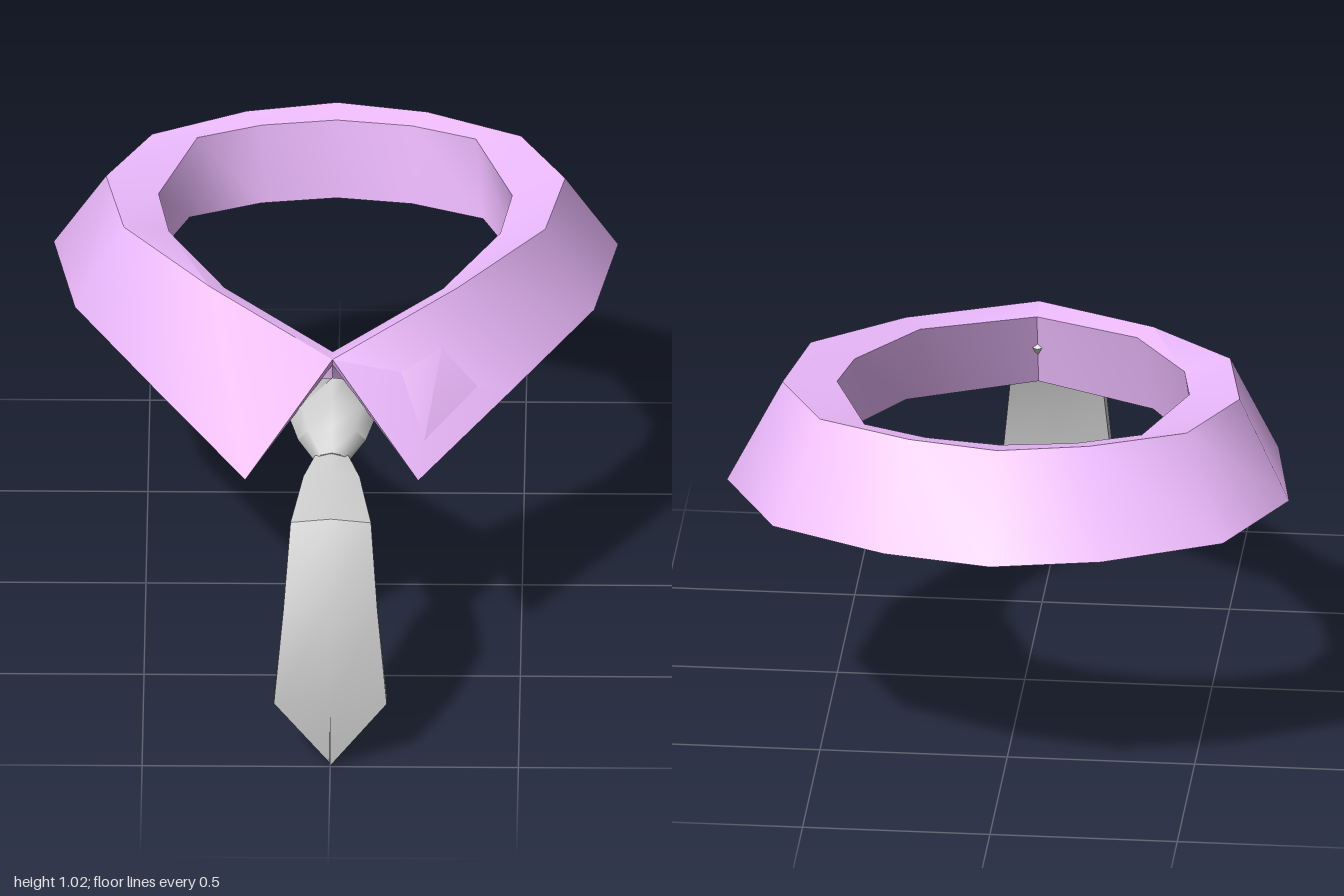
import * as THREE from 'three';
import { toCreasedNormals } from 'three/addons/utils/BufferGeometryUtils.js';

// Skin a list of equal rings of Vector3; caps lists index polygons (fans) for the two ends.
function loft(rings, cap, crease) {
  const n = rings[0].length, last = (rings.length - 1) * n, index = [];
  for (let i = 0; i < rings.length - 1; i++) {
    for (let j = 0; j < n; j++) {
      const a = i * n + j, b = i * n + (j + 1) % n, c = a + n, d = b + n;
      index.push(a, c, b, b, c, d);
    }
  }
  for (let k = 1; k < cap.length - 1; k++) {
    index.push(cap[0], cap[k], cap[k + 1]);
    index.push(last + cap[0], last + cap[k + 1], last + cap[k]);
  }
  const geo = new THREE.BufferGeometry().setFromPoints(rings.flat());
  geo.setIndex(index);
  return toCreasedNormals(geo.toNonIndexed(), crease);
}

// Collar stations from front to back: flap hem, fold ridge, inner rim, band bottom
const stations = [
  [[0.23, 0.665, 0.63], [0, 0.915, 0.42], [0, 0.9, 0.35], [0, 0.69, 0.4]],
  [[0.47, 0.73, 0.26], [0.33, 0.98, 0.14], [0.29, 0.96, 0.11], [0.33, 0.74, 0.14]],
  [[0.69, 0.765, -0.13], [0.56, 1.015, -0.12], [0.44, 0.985, -0.15], [0.47, 0.77, -0.14]],
  [[0.75, 0.77, -0.48], [0.61, 1.02, -0.39], [0.47, 1.0, -0.33], [0.5, 0.78, -0.33]],
  [[0.6, 0.77, -0.77], [0.49, 1.02, -0.62], [0.37, 1.01, -0.62], [0.39, 0.79, -0.58]],
  [[0.29, 0.775, -0.93], [0.24, 1.025, -0.74], [0.2, 1.01, -0.69], [0.2, 0.79, -0.66]],
  [[0, 0.78, -1], [0, 1.025, -0.79], [0, 1.01, -0.72], [0, 0.79, -0.69]],
];

// Full folded cross-section: the outside points plus the hollow underside
function collarRing(station, side) {
  const [hem, ridge, rim, band] = station.map((p) => new THREE.Vector3(...p));
  const shift = (p, out, up) => {
    const dir = new THREE.Vector3(p.x, 0, p.z + 0.3).normalize();
    return p.clone().addScaledVector(dir, out).setY(p.y + up);
  };
  const under = ridge.clone().lerp(rim, 0.4);
  under.y -= 0.025;
  const ring = [hem, ridge, rim, band, shift(band, 0.03, 0), under, shift(hem, -0.015, -0.004)];
  ring.forEach((p) => { p.x *= side; });
  return ring;
}

// Tie ring from a front [y, z], a back [y, z] and a half width
function tieRing([front, back, width], outline) {
  return outline.map(([u, t]) => new THREE.Vector3(
    u * width,
    THREE.MathUtils.lerp(front[0], back[0], t),
    THREE.MathUtils.lerp(front[1], back[1], t),
  ));
}

const bladeOutline = [[0, 0], [1, 0.25], [1, 0.85], [0, 1], [-1, 0.85], [-1, 0.25]];
const knotOutline = [[0, 0], [0.7, 0.14], [1, 0.5], [0.7, 0.86], [0, 1], [-0.7, 0.86], [-1, 0.5], [-0.7, 0.14]];

const knotRows = [
  [[0.86, 0.42], [0.8, 0.36], 0.045],
  [[0.835, 0.5], [0.7, 0.44], 0.115],
  [[0.795, 0.57], [0.69, 0.53], 0.09],
  [[0.745, 0.625], [0.68, 0.6], 0.045],
];
const bladeRows = [
  [[0.745, 0.615], [0.68, 0.6], 0.045],
  [[0.725, 0.69], [0.65, 0.67], 0.075],
  [[0.68, 0.87], [0.61, 0.82], 0.107],
  [[0.46, 0.98], [0.43, 0.9], 0.125],
  [[0.18, 1.0], [0.18, 0.92], 0.15],
  [[0, 0.995], [0, 0.92], 0.003],
];

export function createModel() {
  const group = new THREE.Group();
  const add = (name, geometry, material) => {
    const mesh = new THREE.Mesh(geometry, material);
    mesh.name = name;
    group.add(mesh);
  };
  const cloth = new THREE.MeshStandardMaterial({ color: 0xeebbff, side: THREE.DoubleSide });
  const grey = new THREE.MeshStandardMaterial({ color: 0xcccccc });

  // Collar: one half to the back, then its mirror image to the front
  const rings = stations.map((s) => collarRing(s, 1));
  const mirrored = stations.slice(0, -1).reverse().map((s) => collarRing(s, -1));
  add('collar', loft([...rings, ...mirrored], [0, 1, 5, 6], 0.9), cloth);

  // Tie: knot and hanging blade
  add('tieKnot', loft(knotRows.map((r) => tieRing(r, knotOutline)), [...knotOutline.keys()], 1.1), grey);
  add('tieBlade', loft(bladeRows.map((r) => tieRing(r, bladeOutline)), [...bladeOutline.keys()], 0.8), grey);

  return group;
}
